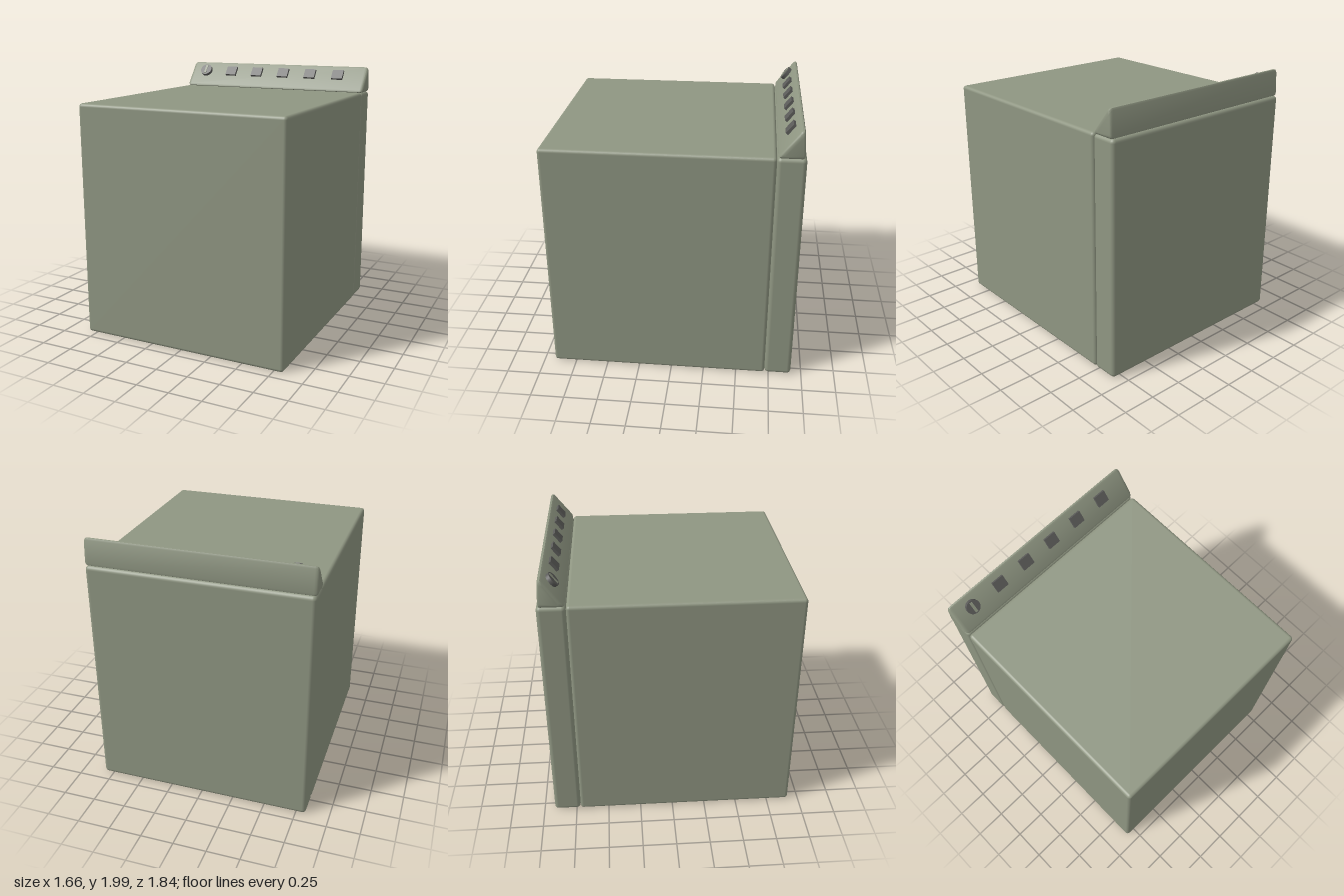
import * as THREE from 'three';
import { toCreasedNormals } from 'three/addons/utils/BufferGeometryUtils.js';
import { RoundedBoxGeometry } from 'three/addons/geometries/RoundedBoxGeometry.js';

const material = (name, color) => {
  const m = new THREE.MeshStandardMaterial({ color });
  m.name = name;
  return m;
};

// Wedge-shaped control console: one (z, y) profile repeated along x, shrinking at the rounded ends
function consoleGeometry() {
  const profile = [
    [-0.74, 1.796], [-0.726, 1.803], [-0.73, 1.818], [-0.865, 1.99], [-0.876, 1.999],
    [-0.888, 1.998], [-0.895, 1.985], [-0.907, 1.82], [-0.904, 1.803], [-0.892, 1.796],
  ];
  const centre = [-0.85, 1.87];
  const sections = [
    [-0.828, 0.72], [-0.824, 0.86], [-0.815, 0.96], [-0.80, 1],
    [0.80, 1], [0.815, 0.96], [0.824, 0.86], [0.828, 0.72],
  ];
  const n = profile.length;
  const positions = [];
  const index = [];
  for (const [x, s] of sections) {
    for (const [z, y] of profile) {
      positions.push(x, centre[1] + (y - centre[1]) * s, centre[0] + (z - centre[0]) * s);
    }
  }
  for (let j = 0; j < sections.length - 1; j++) {
    for (let i = 0; i < n; i++) {
      const k = (i + 1) % n;
      const a = j * n + i, b = (j + 1) * n + i, c = (j + 1) * n + k, d = j * n + k;
      index.push(a, b, c, a, c, d);
    }
  }
  // End caps
  const last = (sections.length - 1) * n;
  for (let i = 1; i < n - 1; i++) {
    index.push(0, i, i + 1, last, last + i + 1, last + i);
  }
  const g = new THREE.BufferGeometry();
  g.setAttribute('position', new THREE.Float32BufferAttribute(positions, 3));
  g.setIndex(index);
  return toCreasedNormals(g, 0.6);
}

export function createModel() {
  const model = new THREE.Group();
  model.name = 'washingMachine';
  const enamel = material('sage enamel', 0x8f9682);
  const dark = material('dark control', 0x5b5b59);

  const add = (parent, name, geometry, mat, x, y, z) => {
    const mesh = new THREE.Mesh(geometry, mat);
    mesh.name = name;
    mesh.position.set(x, y, z);
    parent.add(mesh);
    return mesh;
  };

  // Cabinet and the separate back panel
  add(model, 'cabinet', new RoundedBoxGeometry(1.65, 1.79, 1.64, 3, 0.025), enamel, 0, 0.905, 0.10);
  add(model, 'backPanel', new RoundedBoxGeometry(1.65, 1.79, 0.2, 3, 0.03), enamel, 0, 0.905, -0.82);
  add(model, 'console', consoleGeometry(), enamel, 0, 0, 0);

  // Controls share a frame lying on the sloped console face, with local z pointing outward
  const controls = new THREE.Group();
  controls.name = 'controls';
  controls.position.set(0, 1.926, -0.815);
  controls.rotation.x = -Math.atan2(0.135, 0.172);
  model.add(controls);

  for (let i = 0; i < 5; i++) {
    add(controls, 'button', new THREE.BoxGeometry(0.096, 0.084, 0.03), dark, -0.42 + i * 0.25, 0, 0.006);
  }

  // Round dial with a pale pointer strip
  const dial = add(controls, 'dial',
    new THREE.CylinderGeometry(0.053, 0.053, 0.034, 24).rotateX(Math.PI / 2), dark, -0.675, 0, 0.01);
  add(dial, 'dialPointer', new THREE.BoxGeometry(0.02, 0.085, 0.008), enamel, 0, 0, 0.018);

  return model;
}
